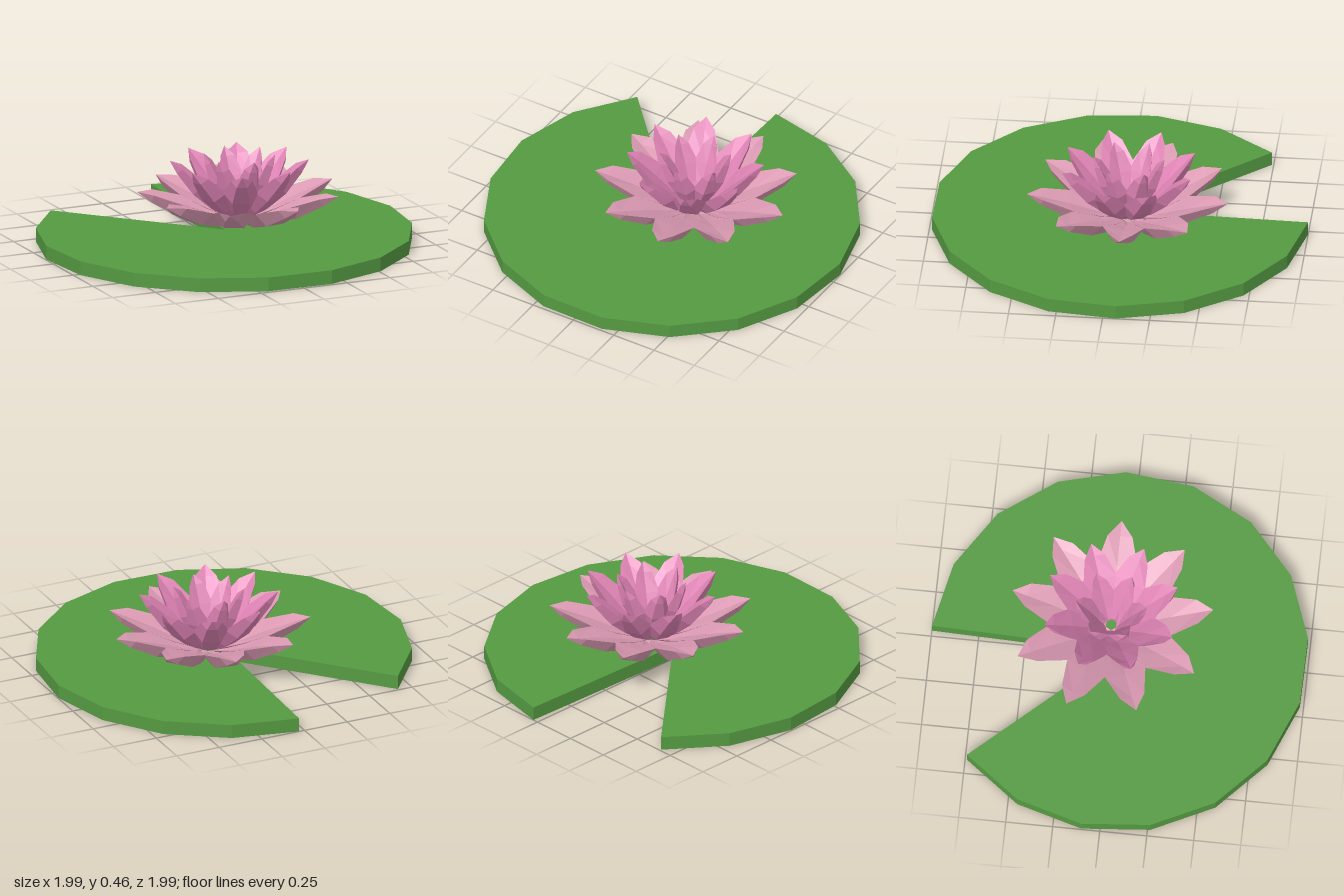
import * as THREE from 'three';

const material = (name, color) => {
  const m = new THREE.MeshStandardMaterial({ color, flatShading: true });
  m.name = name;
  return m;
};

// Petal stations: position along the length, half width, keel height, rim height
const STATIONS = [
  [0, 0.03, 0, 0.02],
  [0.25, 0.085, -0.033, 0.028],
  [0.53, 0.11, -0.04, 0.034],
  [0.84, 0.066, -0.016, 0.03],
];

// Closed scoop-shaped petal growing along +x, with its hollow side facing +y
function petalGeometry(length, width, depth) {
  const rings = STATIONS.map(([s, hw, keel, rim]) => {
    const x = s * length, w = hw * width, k = keel * depth, r = rim * depth;
    return [
      [x, r, w], [x, r - 0.018 * depth, 0], [x, r, -w],
      [x, k, -w * 0.5], [x, k, w * 0.5],
    ];
  });
  const tip = [length, 0.008 * depth, 0];
  const pos = [];
  const tri = (a, b, c) => pos.push(...a, ...b, ...c);
  const n = rings[0].length;
  rings.forEach((a, j) => {
    const b = rings[j + 1];
    for (let i = 0; i < n; i++) {
      const k = (i + 1) % n;
      if (b) {
        tri(a[i], b[i], b[k]);
        tri(a[i], b[k], a[k]);
      } else tri(a[i], tip, a[k]);
    }
  });
  for (let i = 1; i < n - 1; i++) tri(rings[0][0], rings[0][i], rings[0][i + 1]);
  const geo = new THREE.BufferGeometry();
  geo.setAttribute('position', new THREE.Float32BufferAttribute(pos, 3));
  geo.computeVertexNormals();
  return geo;
}

// Ring of identical petals, each running from base [r, y] to tip [r, y]
function petalRing(name, mat, { count, offset, base, tip, width, depth }) {
  const ring = new THREE.Group();
  ring.name = name;
  const dr = tip[0] - base[0], dy = tip[1] - base[1];
  const geo = petalGeometry(Math.hypot(dr, dy), width, depth);
  geo.rotateZ(Math.atan2(dy, dr));
  geo.translate(base[0], base[1], 0);
  for (let i = 0; i < count; i++) {
    const petal = new THREE.Mesh(geo, mat);
    petal.name = 'petal';
    petal.rotation.y = offset + (i / count) * Math.PI * 2;
    ring.add(petal);
  }
  return ring;
}

export function createModel() {
  const green = material('leaf green', 0x559a42);
  const palePink = material('pale pink', 0xdb9ab3);
  const pink = material('pink', 0xdf84b5);

  const model = new THREE.Group();
  model.name = 'waterLily';

  // Floating leaf: a faceted disc with a wedge cut out at the back
  const shape = new THREE.Shape();
  shape.moveTo(0, 0);
  const start = THREE.MathUtils.degToRad(132.2);
  const end = THREE.MathUtils.degToRad(448.2);
  for (let i = 0; i <= 15; i++) {
    const a = start + ((end - start) * i) / 15;
    shape.lineTo(Math.cos(a), Math.sin(a));
  }
  shape.closePath();
  const leafGeo = new THREE.ExtrudeGeometry(shape, { depth: 0.075, bevelEnabled: false });
  leafGeo.rotateX(-Math.PI / 2);
  const leaf = new THREE.Mesh(leafGeo, green);
  leaf.name = 'leafPad';
  model.add(leaf);

  // Blossom: three rings of petals, steeper toward the centre
  const blossom = new THREE.Group();
  blossom.name = 'blossom';
  blossom.position.set(0.11, 0, -0.055);
  blossom.add(
    petalRing('outerPetals', palePink, {
      count: 9, offset: 0, base: [0.06, 0.1], tip: [0.545, 0.26], width: 1, depth: 1,
    }),
    petalRing('middlePetals', pink, {
      count: 8, offset: Math.PI / 8, base: [0.05, 0.12], tip: [0.373, 0.425], width: 0.85, depth: 0.9,
    }),
    petalRing('innerPetals', pink, {
      count: 6, offset: Math.PI / 6, base: [0.04, 0.14], tip: [0.195, 0.46], width: 0.62, depth: 0.75,
    }),
  );
  model.add(blossom);
  return model;
}
